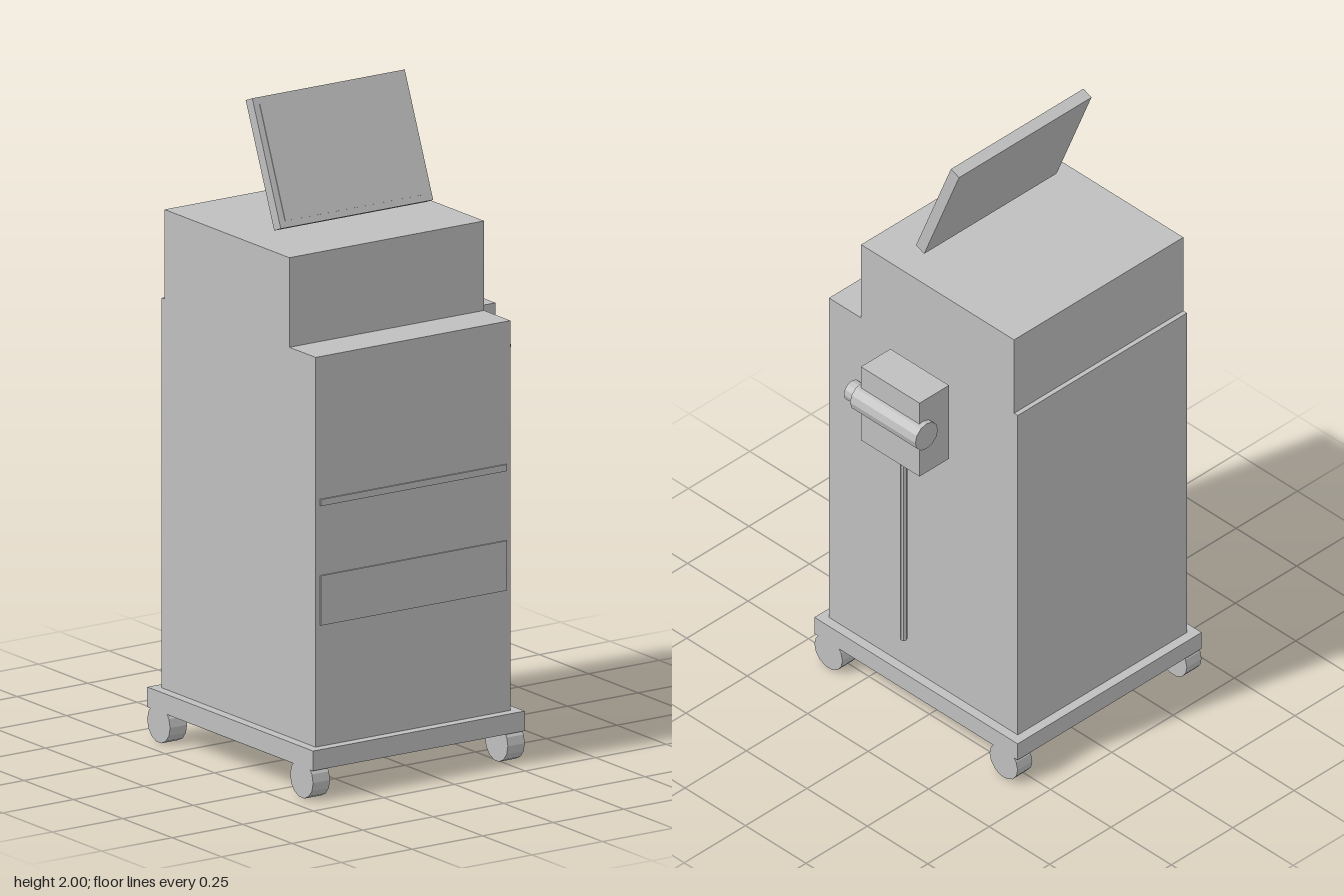
import * as THREE from 'three';

export function createModel() {
  const model = new THREE.Group();
  const grey = new THREE.MeshStandardMaterial({ color: 0xbfbfbf, flatShading: true });
  grey.name = 'light grey';
  const CX = -0.07; // centre line of the cabinet

  const add = (name, geometry, x, y, z, parent = model) => {
    const mesh = new THREE.Mesh(geometry, grey);
    mesh.name = name;
    mesh.position.set(x, y, z);
    parent.add(mesh);
    return mesh;
  };
  const box = (w, h, d) => new THREE.BoxGeometry(w, h, d);
  const rodZ = (r, length) => new THREE.CylinderGeometry(r, r, length, 12).rotateX(Math.PI / 2);

  // Wheeled base
  add('basePlate', box(0.75, 0.06, 0.84), CX, 0.125, 0);
  for (const sx of [-1, 1]) {
    for (const sz of [-1, 1]) {
      const wheel = new THREE.CylinderGeometry(0.058, 0.058, 0.06, 14).rotateZ(Math.PI / 2);
      add('casterWheel', wheel, CX + sx * 0.345, 0.058, sz * 0.362);
    }
  }

  // Stepped cabinet: side profile (z, y) extruded across the width
  const profile = new THREE.Shape([
    [0.39, 0.155], [0.39, 1.33], [0.257, 1.33], [0.257, 1.6],
    [-0.375, 1.6], [-0.375, 1.33], [-0.39, 1.33], [-0.39, 0.155],
  ].map(([z, y]) => new THREE.Vector2(-z, y)));
  const cabinet = new THREE.ExtrudeGeometry(profile, { depth: 0.69, bevelEnabled: false });
  cabinet.translate(0, 0, -0.345).rotateY(Math.PI / 2);
  add('cabinet', cabinet, CX, 0, 0);

  // Thin plates on the cabinet front
  add('drawerStrip', box(0.66, 0.02, 0.006), CX, 0.89, 0.392);
  add('drawerPanel', box(0.66, 0.15, 0.006), CX, 0.595, 0.392);

  // Tilted monitor above the cabinet
  const monitor = new THREE.Group();
  monitor.name = 'monitor';
  monitor.position.set(CX, 1.814, 0.0175);
  monitor.rotation.x = -0.381;
  model.add(monitor);
  add('monitorCase', box(0.54, 0.388, 0.036), 0, 0, 0, monitor);
  add('monitorScreen', box(0.5, 0.348, 0.004), 0, 0, 0.018, monitor);

  // Side unit with its horizontal cylinder and hanging rod
  add('sideUnit', box(0.12, 0.27, 0.242), 0.35, 1.165, 0);
  add('sideCylinder', rodZ(0.046, 0.27), 0.397, 1.18, -0.002);
  add('sideCylinderTip', rodZ(0.033, 0.05), 0.397, 1.18, 0.147);
  add('hangingRod', new THREE.CylinderGeometry(0.011, 0.011, 0.675, 8), 0.381, 0.7025, -0.026);

  return model;
}
